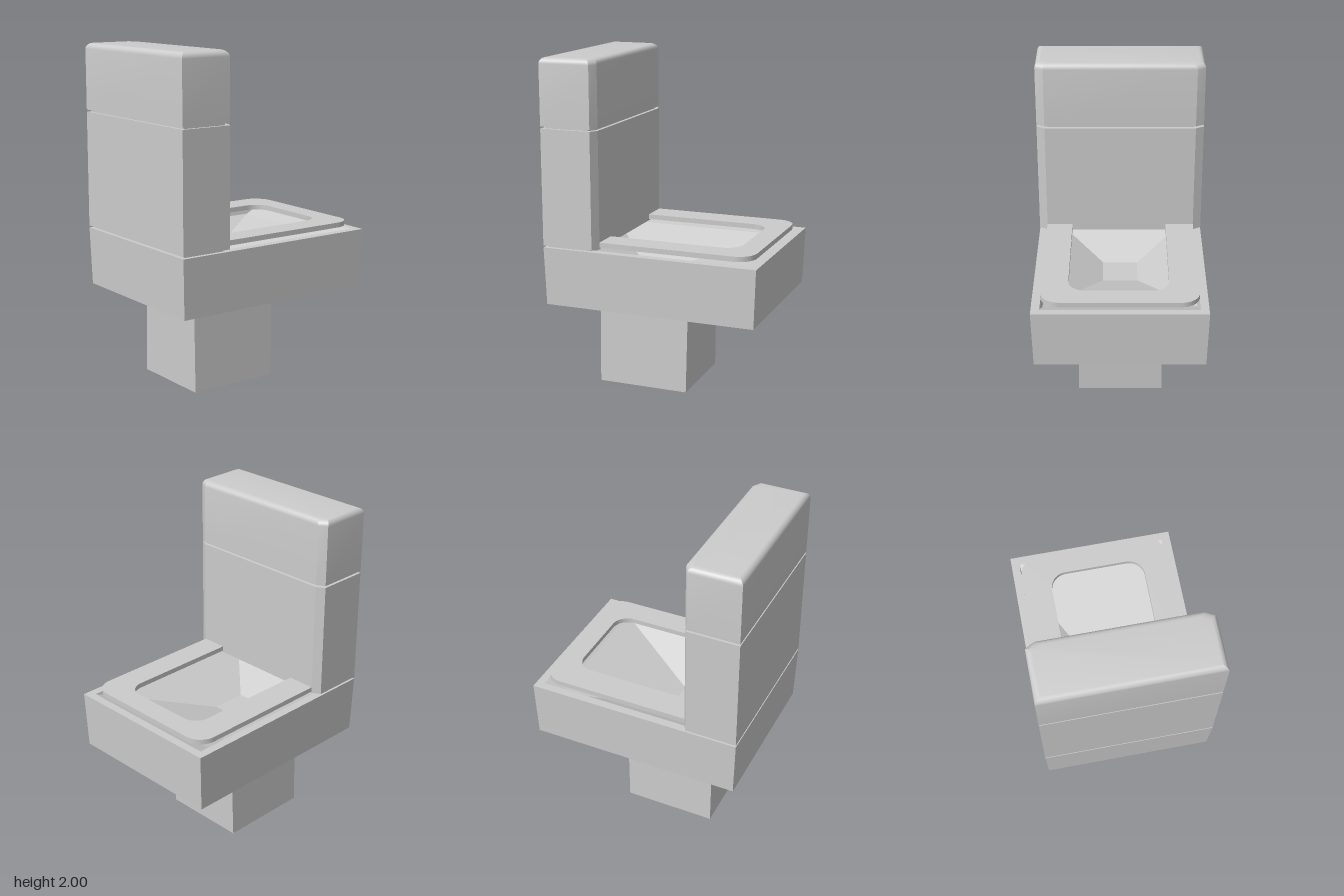
import * as THREE from 'three';
import { toCreasedNormals } from 'three/addons/utils/BufferGeometryUtils.js';

const material = new THREE.MeshStandardMaterial({ color: 0xcccccc, side: THREE.DoubleSide });

// Rectangular cross-section at height y, counter-clockwise seen from above
function rect(y, x0, x1, z) {
  return [[x0, y, z], [x1, y, z], [x1, y, -z], [x0, y, -z]];
}

// Tank cross-section: rectangle with chamfered front corners, shrunk by inset
function tankRing(y, inset = 0) {
  const x0 = -0.655 + inset, x1 = -0.315 - inset, z = 0.507 - inset;
  const cx = x1 - 0.028, cz = z - 0.05;
  return [[x0, y, z], [cx, y, z], [x1, y, cz], [x1, y, -cz], [cx, y, -z], [x0, y, -z]];
}

// Skin a stack of cross-sections and cap both ends
function loft(name, rings, crease = 0.4) {
  const n = rings[0].length;
  const last = (rings.length - 1) * n;
  const index = [];
  for (let k = 0; k < rings.length - 1; k++) {
    for (let i = 0; i < n; i++) {
      const j = (i + 1) % n;
      const a = k * n + i, b = k * n + j;
      index.push(a, b, b + n, a, b + n, a + n);
    }
  }
  for (let i = 1; i < n - 1; i++) {
    index.push(0, i + 1, i);
    index.push(last, last + i, last + i + 1);
  }
  const geometry = new THREE.BufferGeometry();
  geometry.setAttribute('position', new THREE.Float32BufferAttribute(rings.flat(2), 3));
  geometry.setIndex(index);
  const mesh = new THREE.Mesh(toCreasedNormals(geometry, crease), material);
  mesh.name = name;
  return mesh;
}

// U-shaped seat, open towards the tank
function createSeat() {
  const back = -0.33, front = 0.61, w = 0.457, r = 0.11;
  const inFront = 0.48, inLeft = 0.285, inRight = -0.3, q = 0.1;
  const s = new THREE.Shape();
  s.moveTo(back, -w);
  s.lineTo(front - r, -w);
  s.absarc(front - r, -w + r, r, -Math.PI / 2, 0, false);
  s.lineTo(front, w - r);
  s.absarc(front - r, w - r, r, 0, Math.PI / 2, false);
  s.lineTo(back, w);
  s.lineTo(back, inLeft);
  s.lineTo(inFront - q, inLeft);
  s.absarc(inFront - q, inLeft - q, q, Math.PI / 2, 0, true);
  s.lineTo(inFront, inRight + q);
  s.absarc(inFront - q, inRight + q, q, 0, -Math.PI / 2, true);
  s.lineTo(back, inRight);
  s.closePath();
  const geometry = new THREE.ExtrudeGeometry(s, { depth: 0.03, bevelEnabled: false, curveSegments: 10 });
  geometry.rotateX(-Math.PI / 2);
  geometry.translate(0, 0.905, 0);
  const mesh = new THREE.Mesh(toCreasedNormals(geometry, 0.5), material);
  mesh.name = 'seat';
  return mesh;
}

export function createModel() {
  const model = new THREE.Group();
  model.name = 'toilet';

  // Foot, slightly tapered
  model.add(loft('pedestal', [rect(0, -0.41, 0.148, 0.262), rect(0.535, -0.41, 0.157, 0.252)]));

  // Bowl: outer block, rim, then the funnel down to the flat floor
  model.add(loft('bowl', [
    rect(0.535, -0.645, 0.642, 0.498),
    rect(0.885, -0.655, 0.655, 0.507),
    rect(0.885, -0.605, 0.605, 0.457),
    rect(0.84, -0.6, 0.5, 0.445),
    rect(0.67, -0.285, -0.065, 0.108),
  ], 0.1));

  model.add(createSeat());

  // Tank with recessed joints below it and below the lid
  model.add(loft('tankBase', [tankRing(0.88, 0.025), tankRing(0.905, 0.025)]));
  model.add(loft('tank', [tankRing(0.897), tankRing(1.592)]));
  model.add(loft('lidJoint', [tankRing(1.585, 0.02), tankRing(1.61, 0.02)]));

  // Lid with rounded upper edges
  const lidRings = [tankRing(1.604)];
  const radius = 0.035, steps = 6;
  for (let i = 0; i <= steps; i++) {
    const a = (i / steps) * Math.PI / 2;
    lidRings.push(tankRing(2 - radius + radius * Math.sin(a), radius * (1 - Math.cos(a))));
  }
  model.add(loft('tankLid', lidRings));

  return model;
}
